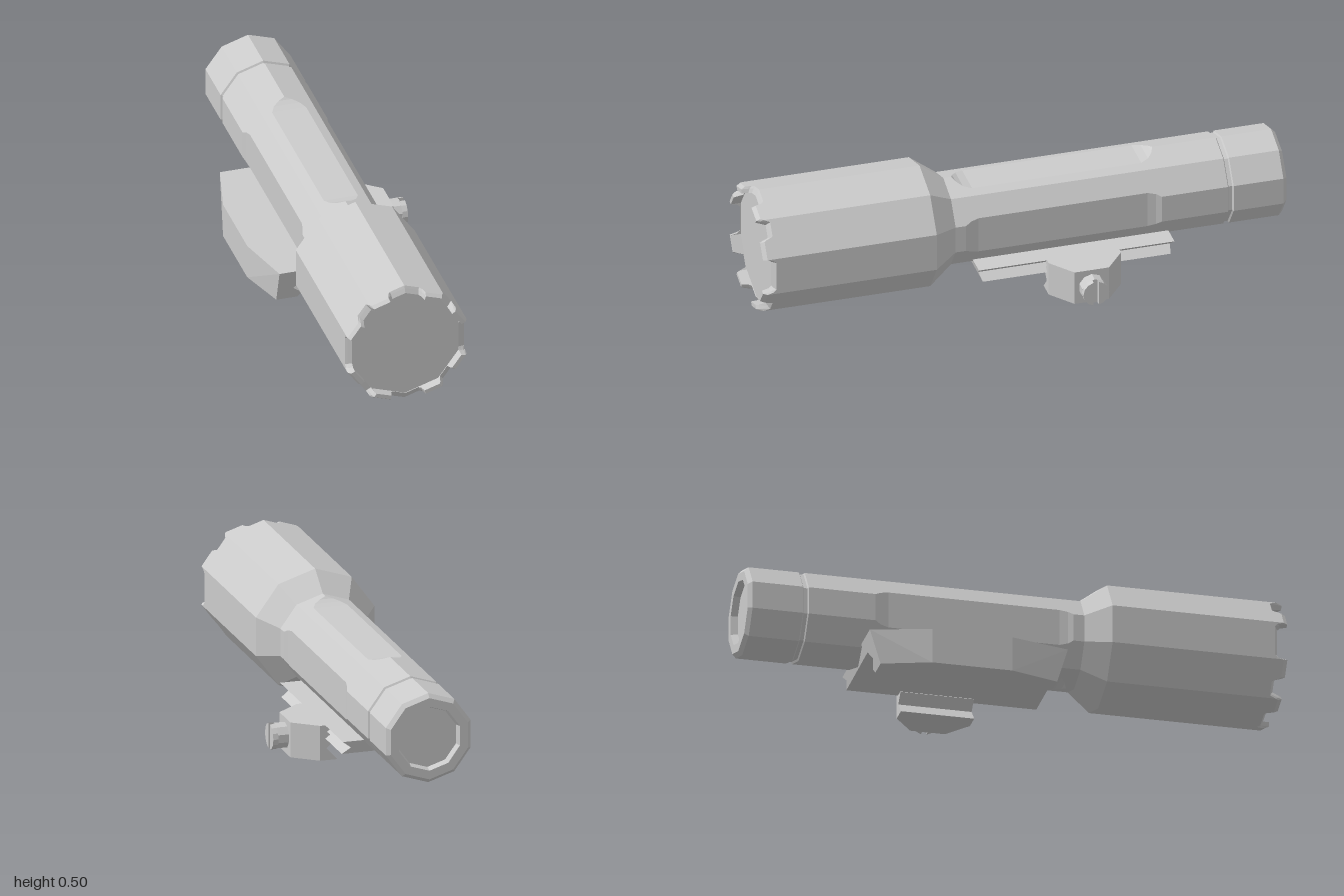
import * as THREE from 'three';

const DEG = Math.PI / 180;
const material = new THREE.MeshStandardMaterial({ color: 0xcccccc, flatShading: true });
const AXIS = { x: -0.034, y: 0.26 }; // centre line of the light

function addMesh(parent, name, geometry) {
  const mesh = new THREE.Mesh(geometry, material);
  mesh.name = name;
  parent.add(mesh);
  return mesh;
}

// Skin closed loops of points (counter-clockwise from the front), skipping empty triangles
function loft(loops) {
  const pos = [];
  const tri = (a, b, c) => {
    if (new THREE.Triangle(a, b, c).getArea() > 1e-8) for (const p of [a, b, c]) pos.push(p.x, p.y, p.z);
  };
  for (let i = 0; i < loops.length - 1; i++) {
    const n = loops[i].length;
    for (let j = 0; j < n; j++) {
      const k = (j + 1) % n;
      const a = loops[i][j], b = loops[i][k], c = loops[i + 1][k], d = loops[i + 1][j];
      tri(a, d, c);
      tri(a, c, b);
    }
  }
  const geometry = new THREE.BufferGeometry();
  geometry.setAttribute('position', new THREE.Float32BufferAttribute(pos, 3));
  geometry.computeVertexNormals();
  return geometry;
}

// Decagon of radius r, planed flat at distance d on the top, bottom and both sides
function section([z, r, d = r]) {
  const a = r * Math.cos(18 * DEG);
  const dx = Math.min(d, a), dy = Math.min(d, r);
  const hy = r * Math.sin(18 * DEG) + (a - dx) / Math.tan(36 * DEG);
  const hx = (r - dy) / Math.tan(18 * DEG);
  const px = r * Math.sin(36 * DEG), py = r * Math.cos(36 * DEG);
  return [
    [dx, -hy], [dx, hy], [px, py], [hx, dy], [-hx, dy], [-px, py],
    [-dx, hy], [-dx, -hy], [-px, -py], [-hx, -dy], [hx, -dy], [px, -py],
  ].map(([x, y]) => new THREE.Vector3(x, y, z));
}

// Radius of a decagon with a corner at the top, at an angle in degrees from the top
function decagonRadius(r, angle) {
  const local = (((angle % 36) + 36) % 36) - 18;
  return r * Math.cos(18 * DEG) / Math.cos(local * DEG);
}

// Toothed rim: one quarter of [angle, height 0..1], mirrored around
function crownGeometry() {
  const quarter = [[0, 0], [14, 0], [16.5, 0.3], [18, 1], [34.5, 1], [36, 0.7], [38.5, 0], [45, 0],
    [51.5, 0], [54, 0.7], [55.5, 1], [72, 1], [73.5, 0.3], [76, 0], [90, 0]];
  const half = [...quarter, ...quarter.slice(0, -1).reverse().map(([a, h]) => [180 - a, h])];
  const full = [...half, ...half.slice(1, -1).reverse().map(([a, h]) => [360 - a, h])].reverse();
  const ring = (r, zAt) => full.map(([angle, h]) => {
    const q = decagonRadius(r, angle);
    return new THREE.Vector3(q * Math.sin(angle * DEG), q * Math.cos(angle * DEG), zAt(h));
  });
  return loft([
    ring(0.213, () => 0.95),
    ring(0.213, (h) => 0.965 + 0.035 * h),
    ring(0.229, (h) => 0.957 + 0.043 * h),
    ring(0.238, (h) => 0.952 + 0.033 * h),
    ring(0.238, () => 0.94),
  ]);
}

// Extrude an x-y outline along z, with a half length that depends on x and y
function taperedExtrude(points, zCentre, halfLength) {
  const shape = new THREE.Shape(points.map(([x, y]) => new THREE.Vector2(x, y)));
  const geometry = new THREE.ExtrudeGeometry(shape, { depth: 1, bevelEnabled: false });
  const p = geometry.attributes.position;
  for (let i = 0; i < p.count; i++) {
    const side = p.getZ(i) > 0.5 ? 1 : -1;
    p.setZ(i, zCentre + side * halfLength(p.getX(i), p.getY(i)));
  }
  geometry.computeVertexNormals();
  return geometry;
}

const rectangle = (x0, x1, y0, y1) => [[x0, y0], [x1, y0], [x1, y1], [x0, y1]];

export function createModel() {
  const model = new THREE.Group();
  model.name = 'mountedFlashlight';

  const light = new THREE.Group();
  light.name = 'flashlight';
  light.position.set(AXIS.x, AXIS.y, 0);
  model.add(light);

  // Lens and toothed rim
  addMesh(light, 'lens', loft([[0.962, 0], [0.962, 0.214]].map(section)));
  addMesh(light, 'toothedRim', crownGeometry());

  // Head and its taper down to the handle
  addMesh(light, 'head', loft([[0.94, 0.238], [0.345, 0.238], [0.255, 0.17]].map(section)));

  // Handle with four long planed grips
  addMesh(light, 'handle', loft([
    [0.255, 0.17], [0.225, 0.17], [0.215, 0.17, 0.162], [0.195, 0.17, 0.154], [0.165, 0.17, 0.149],
    [-0.475, 0.17, 0.149], [-0.505, 0.17, 0.154], [-0.525, 0.17, 0.162], [-0.535, 0.17],
    [-0.775, 0.17], [-0.779, 0.163],
  ].map(section)));

  // Tail cap behind a narrow groove, with a recessed button
  addMesh(light, 'tailCap', loft([
    [-0.779, 0.163], [-0.793, 0.163], [-0.797, 0.17], [-0.985, 0.17], [-1, 0.155],
    [-1, 0.122], [-0.975, 0.115],
  ].map(section)));
  addMesh(light, 'tailButton', loft([[-0.975, 0.115], [-0.975, 0]].map(section)));

  // Rail mount
  const mount = new THREE.Group();
  mount.name = 'railMount';
  model.add(mount);

  const railHalf = (y) => 0.33 + 0.04 * (y / 0.133);
  addMesh(mount, 'mountBase', taperedExtrude([
    [-0.27, 0], [-0.19, 0], [-0.175, 0.02], [-0.21, 0.048], [-0.175, 0.085],
    [0.155, 0.083], [0.122, 0.107], [0.155, 0.133], [-0.27, 0.133],
  ], -0.195, (x, y) => railHalf(y)));
  addMesh(mount, 'fixedJaw', taperedExtrude(rectangle(-0.325, -0.27, 0, 0.133), -0.195,
    (x, y) => (x < -0.3 ? 0.15 : railHalf(y))));

  // Clamp block with a grooved inner side and an angled outer side
  const clampZ = -0.22;
  addMesh(mount, 'clampInner', taperedExtrude([
    [0.11, 0], [0.175, 0], [0.175, 0.133], [0.115, 0.133], [0.15, 0.107], [0.115, 0.08], [0.15, 0.045],
  ], clampZ, () => 0.137));
  addMesh(mount, 'clampOuter', taperedExtrude(rectangle(0.175, 0.265, 0, 0.133), clampZ,
    (x) => (x > 0.2 ? 0.065 : 0.137)));

  // Clamp screw with a slotted end
  const screw = new THREE.Group();
  screw.name = 'clampScrew';
  screw.position.set(0.265, 0.067, clampZ);
  screw.rotation.y = Math.PI / 2;
  mount.add(screw);
  const head = new THREE.CylinderGeometry(0.049, 0.049, 0.04, 10);
  head.rotateX(Math.PI / 2).translate(0, 0, 0.02);
  addMesh(screw, 'screwHead', head);
  for (const side of [0, Math.PI]) {
    const start = 12 * DEG;
    const shape = new THREE.Shape();
    for (let i = 0; i <= 6; i++) {
      const t = side - Math.PI / 2 + start + (i / 6) * (Math.PI - 2 * start);
      if (i) shape.lineTo(0.049 * Math.cos(t), 0.049 * Math.sin(t));
      else shape.moveTo(0.049 * Math.cos(t), 0.049 * Math.sin(t));
    }
    const geometry = new THREE.ExtrudeGeometry(shape, { depth: 0.02, bevelEnabled: false });
    addMesh(screw, 'slottedEnd', geometry.translate(0, 0, 0.04));
  }
  return model;
}
